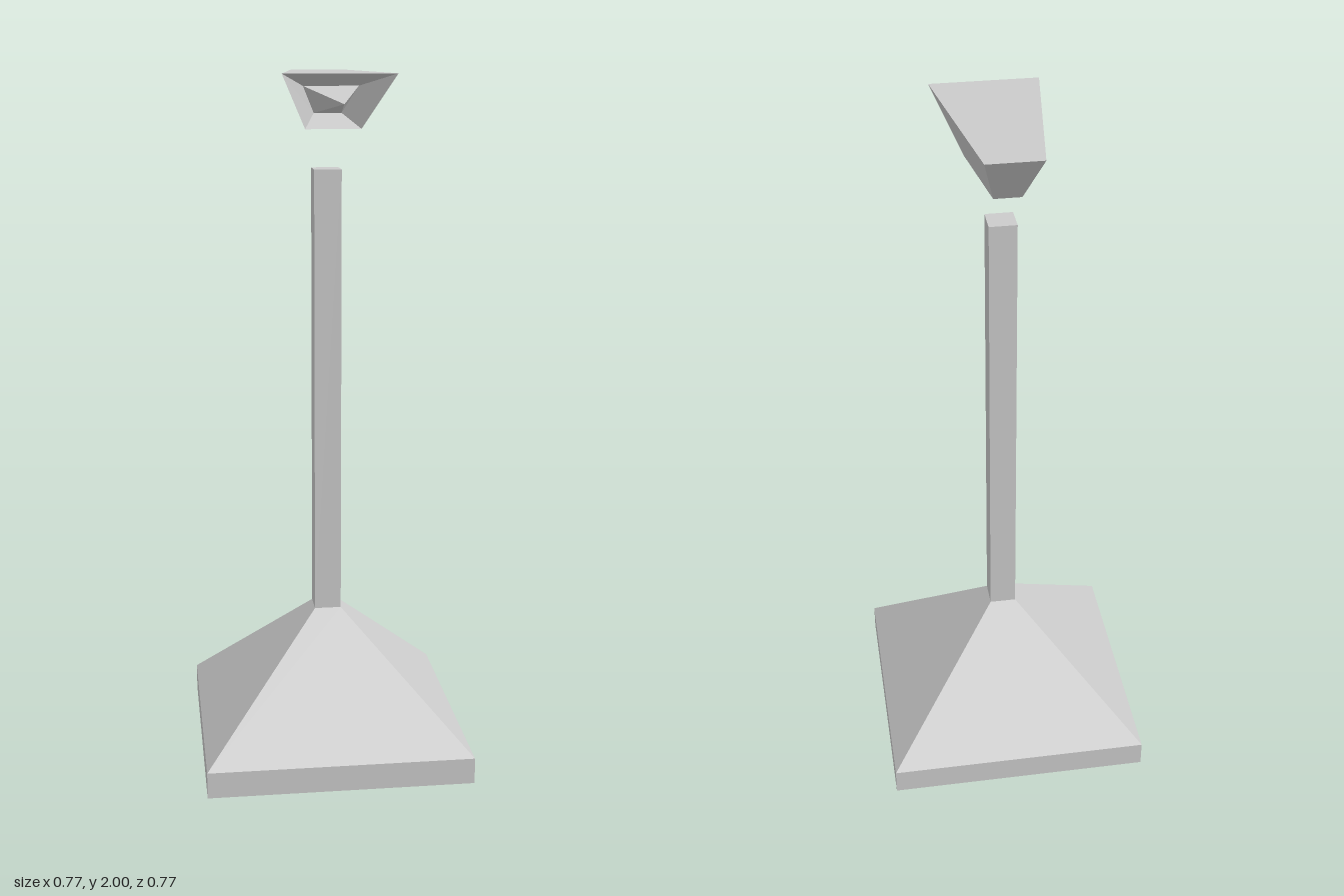
import * as THREE from 'three';

const material = new THREE.MeshStandardMaterial({ color: 0xcccccc, flatShading: true });

function add(group, name, geometry, y = 0) {
  const mesh = new THREE.Mesh(geometry, material);
  mesh.name = name;
  mesh.position.y = y;
  group.add(mesh);
}

// Square frustum given by its half widths, standing on y = 0
function frustum(top, bottom, height) {
  return new THREE.CylinderGeometry(top * Math.SQRT2, bottom * Math.SQRT2, height, 4, 1)
    .toNonIndexed().rotateY(Math.PI / 4).translate(0, height / 2, 0);
}

// Symmetric four-corner section, counter-clockwise seen from +z
function section(bottomHalf, bottomY, bottomZ, topHalf, topY, topZ) {
  return [
    [-bottomHalf, bottomY, bottomZ], [bottomHalf, bottomY, bottomZ],
    [topHalf, topY, topZ], [-topHalf, topY, topZ],
  ];
}

// Flat-faced skin between two sections, with an optional cap on the first
function skin(a, b, cap = false) {
  const points = [];
  for (let i = 0; i < 4; i++) {
    const j = (i + 1) % 4;
    points.push(a[i], a[j], b[j], a[i], b[j], b[i]);
  }
  if (cap) points.push(a[0], a[2], a[1], a[0], a[3], a[2]);
  const geometry = new THREE.BufferGeometry();
  geometry.setAttribute('position', new THREE.Float32BufferAttribute(points.flat(), 3));
  geometry.computeVertexNormals();
  return geometry;
}

export function createModel() {
  const model = new THREE.Group();
  model.name = 'lampPost';

  // Stand
  add(model, 'baseSlab', new THREE.BoxGeometry(0.77, 0.077, 0.77), 0.0385);
  add(model, 'basePyramid', frustum(0.039, 0.385, 0.348), 0.077);
  add(model, 'post', frustum(0.039, 0.039, 1.307), 0.425);

  // Floating head: tapered hull, recessed mouth and a spike from the recess
  const head = new THREE.Group();
  head.name = 'head';
  const back = section(0.038, 1.85, -0.115, 0.077, 2, -0.23);
  const front = section(0.077, 1.85, 0.16, 0.153, 2, 0.305);
  const recess = section(0.039, 1.887, 0.03, 0.077, 1.963, 0.105);
  const tip = Array(4).fill([0, 1.925, 0.385]);
  add(head, 'hull', skin(back, front, true));
  add(head, 'mouth', skin(front, recess));
  add(head, 'spike', skin(recess, tip));
  model.add(head);

  return model;
}
